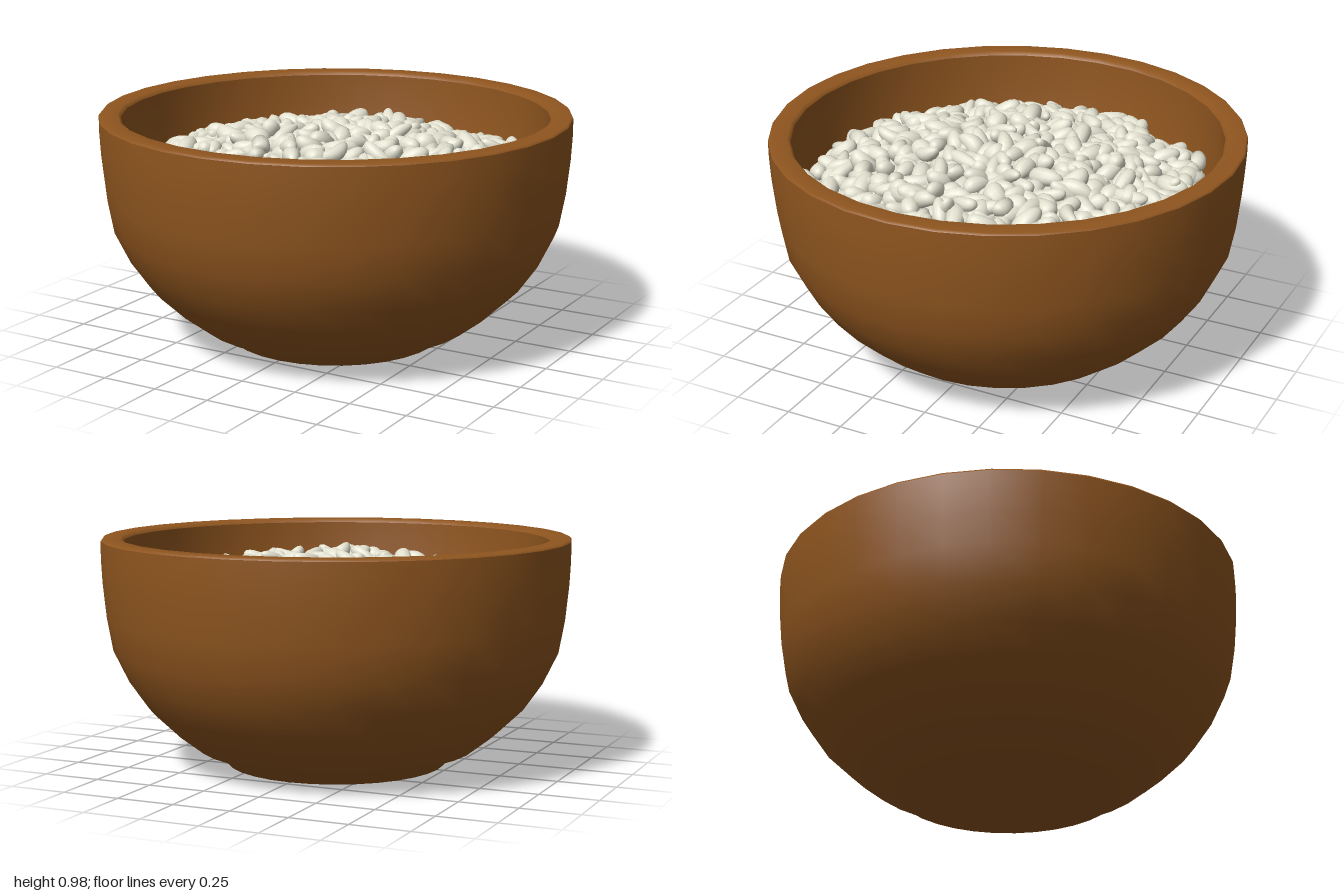
import * as THREE from 'three';
import { mergeGeometries } from 'three/addons/utils/BufferGeometryUtils.js';

const SIDES = 32;

// small seeded random generator
function seeded(seed) {
  return () => {
    seed = (seed * 1664525 + 1013904223) >>> 0;
    return seed / 4294967296;
  };
}

// smooth surface of revolution; separate pieces keep the edges between them sharp
function lathe(profile) {
  return new THREE.LatheGeometry(profile.map(([r, y]) => new THREE.Vector2(r, y)), SIDES);
}

// height of the heaped filling at radius r
const moundHeight = (r) => 0.69 + 0.17 * (1 - (r / 0.87) ** 2);

// lumpy surface between the loose grains
function moundGeometry() {
  const g = new THREE.RingGeometry(0.001, 0.875, 120, 36).rotateX(-Math.PI / 2);
  const p = g.attributes.position;
  for (let i = 0; i < p.count; i++) {
    const x = p.getX(i), z = p.getZ(i);
    const lumps = Math.sin(38 * x + 3 * Math.sin(17 * z)) * Math.sin(35 * z + 3 * Math.sin(19 * x));
    p.setY(i, moundHeight(Math.hypot(x, z)) + 0.012 * lumps);
  }
  g.computeVertexNormals();
  return g;
}

// a bent grain with one thicker end and a slight waist, long in x
function grainGeometry(length, width, bend, waist) {
  const g = new THREE.SphereGeometry(1, 12, 9).rotateZ(Math.PI / 2);
  const p = g.attributes.position;
  for (let i = 0; i < p.count; i++) {
    const x = p.getX(i);
    const girth = width * (1 + 0.2 * x - waist * (1 - x * x));
    p.setXYZ(i, x * length, p.getY(i) * girth, p.getZ(i) * girth + bend * x * x);
  }
  // normals of the stretched ellipsoid keep the seam smooth
  const n = g.attributes.normal;
  for (let i = 0; i < n.count; i++) {
    const v = new THREE.Vector3(n.getX(i) / length, n.getY(i) / width, n.getZ(i) / width).normalize();
    n.setXYZ(i, v.x, v.y, v.z);
  }
  return g;
}

export function createModel() {
  const model = new THREE.Group();
  const wood = new THREE.MeshStandardMaterial({ color: 0x90561f });
  wood.name = 'brown wood';
  const rice = new THREE.MeshStandardMaterial({ color: 0xe2e1d0 });
  rice.name = 'off-white rice';

  const add = (parent, name, geometry, material) => {
    const mesh = new THREE.Mesh(geometry, material);
    mesh.name = name;
    parent.add(mesh);
  };

  // bowl: outside with its low foot, rim and inner wall
  const bowl = new THREE.Group();
  bowl.name = 'bowl';
  model.add(bowl);
  add(bowl, 'outerWall', lathe([
    [0, 0.005], [0.3, 0.005], [0.47, 0.005], [0.52, 0.055], [0.6, 0.078], [0.7, 0.155], [0.81, 0.26],
    [0.89, 0.375], [0.955, 0.51], [0.98, 0.65], [0.995, 0.8], [1, 0.9], [1, 0.975],
  ]), wood);
  add(bowl, 'rim', lathe([[1, 0.975], [0.993, 0.984], [0.92, 0.984], [0.907, 0.968]]), wood);
  add(bowl, 'innerWall', lathe([
    [0.907, 0.968], [0.905, 0.85], [0.89, 0.68], [0.86, 0.52], [0.78, 0.37], [0.6, 0.22], [0.35, 0.14], [0, 0.12],
  ]), wood);

  // filling: a lumpy mound with loose grains half sunk into it
  const filling = new THREE.Group();
  filling.name = 'riceFilling';
  model.add(filling);
  add(filling, 'riceMound', moundGeometry(), rice);

  const rand = seeded(7);
  const count = 560;
  const grains = [];
  for (let i = 0; i < count; i++) {
    const spiral = 0.85 * Math.sqrt((i + 0.5) / count);
    const r = Math.min(spiral + (rand() - 0.5) * 0.05, 0.845);
    const a = i * 2.39996 + (rand() - 0.5) * 0.1;
    const length = 0.052 + rand() * 0.034;
    const width = 0.034 + rand() * 0.016;
    const g = grainGeometry(length, width, (rand() - 0.5) * 0.05, rand() * 0.25);
    g.rotateX(rand() * Math.PI * 2);
    g.rotateZ((rand() - 0.5) * 1.3);
    g.rotateY(rand() * Math.PI * 2);
    g.translate(Math.sin(a) * r, moundHeight(r) - 0.02 + rand() * 0.055, Math.cos(a) * r);
    grains.push(g);
  }
  add(filling, 'riceGrains', mergeGeometries(grains), rice);

  return model;
}
